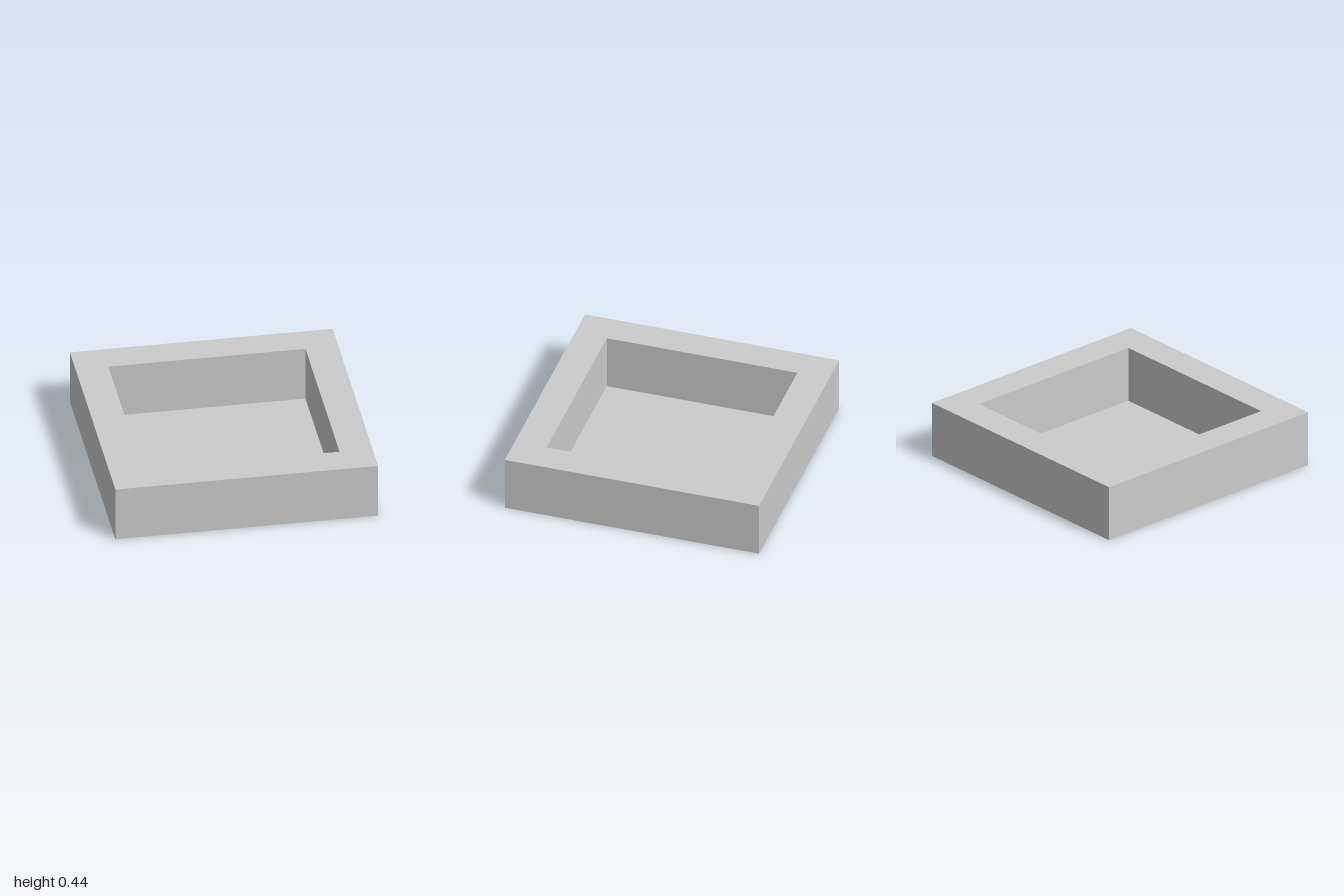
import * as THREE from 'three';

const OUTER = 2, INNER = 1.5, HEIGHT = 0.4375;

// Corner points of a centred square
function square(size) {
  const h = size / 2;
  return [[-h, -h], [h, -h], [h, h], [-h, h]].map(([x, y]) => new THREE.Vector2(x, y));
}

export function createModel() {
  const group = new THREE.Group();
  group.name = 'squareTray';

  // Thick square wall with a square opening, extruded upwards
  const outline = new THREE.Shape(square(OUTER));
  outline.holes.push(new THREE.Path(square(INNER)));
  const frameGeometry = new THREE.ExtrudeGeometry(outline, { depth: HEIGHT, bevelEnabled: false });
  frameGeometry.rotateX(-Math.PI / 2);
  const frame = new THREE.Mesh(frameGeometry, new THREE.MeshStandardMaterial({ color: 0xcccccc }));
  frame.name = 'frame';
  group.add(frame);

  // Thin floor closing the opening, level with the underside
  const floorGeometry = new THREE.PlaneGeometry(INNER, INNER);
  floorGeometry.rotateX(-Math.PI / 2);
  const floor = new THREE.Mesh(
    floorGeometry,
    new THREE.MeshStandardMaterial({ color: 0xcccccc, side: THREE.DoubleSide })
  );
  floor.name = 'floor';
  group.add(floor);

  return group;
}
